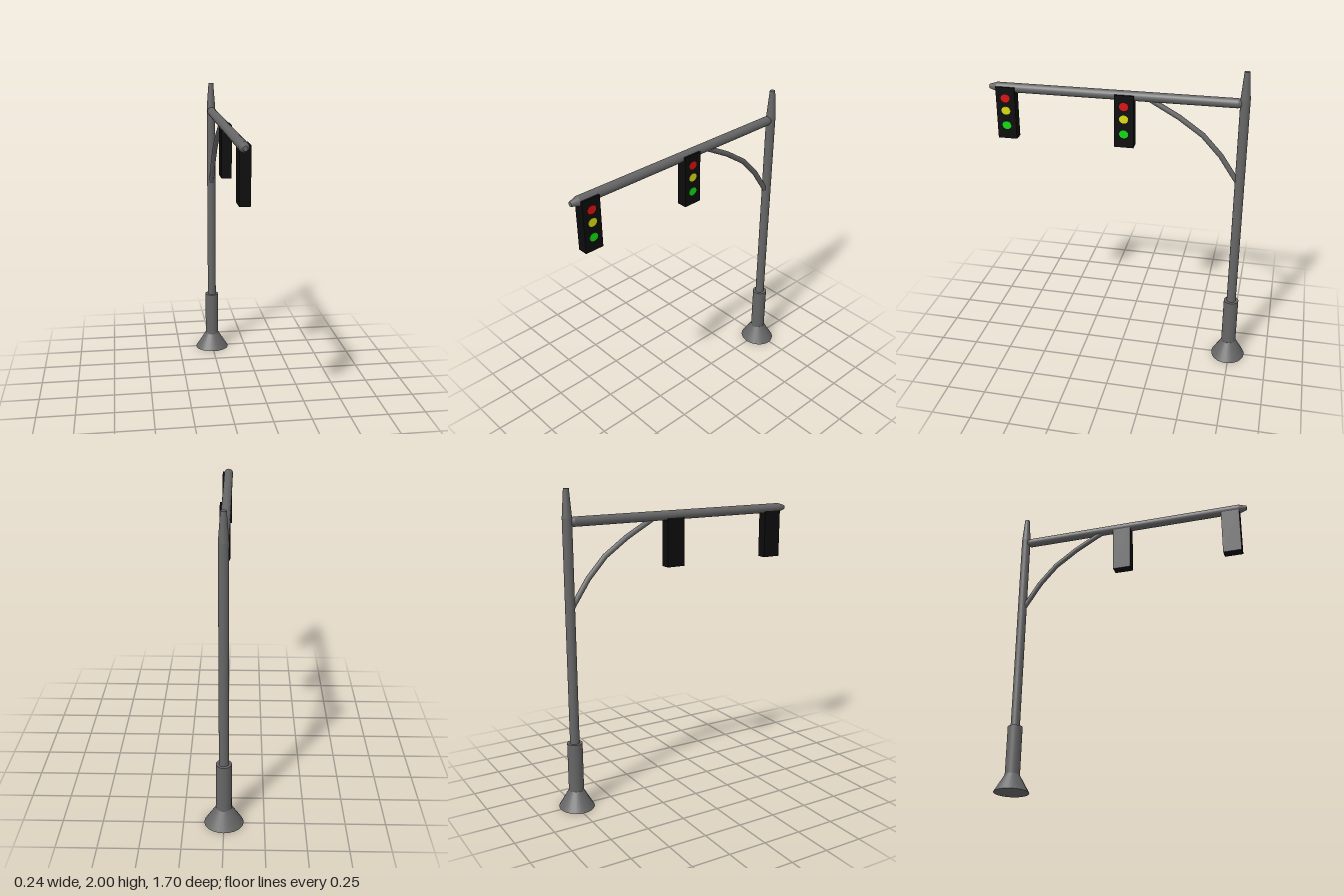
import * as THREE from 'three';

export function createModel() {
  const model = new THREE.Group();
  const metal = new THREE.MeshStandardMaterial({ color: 0x666666 });
  const black = new THREE.MeshStandardMaterial({ color: 0x0c0c0c });
  const poleZ = -0.74, armY = 1.805;

  const add = (name, geometry, material, parent = model) => {
    const mesh = new THREE.Mesh(geometry, material);
    mesh.name = name;
    parent.add(mesh);
    return mesh;
  };
  // Upright cylinder spanning y0 to y1 on the pole axis
  const upright = (name, rBottom, rTop, y0, y1) => {
    const mesh = add(name, new THREE.CylinderGeometry(rTop, rBottom, y1 - y0, 24), metal);
    mesh.position.set(0, (y0 + y1) / 2, poleZ);
    return mesh;
  };
  // Horizontal cylinder spanning z0 to z1 on the arm axis
  const level = (name, rBack, rFront, z0, z1) => {
    const geometry = new THREE.CylinderGeometry(rFront, rBack, z1 - z0, 24).rotateX(Math.PI / 2);
    add(name, geometry, metal).position.set(0, armY, (z0 + z1) / 2);
  };

  // Pole with flared foot, sleeve and tapered top
  upright('flaredFoot', 0.122, 0.05, 0, 0.115).scale.z = 0.91;
  upright('sleeve', 0.048, 0.048, 0.1, 0.43);
  upright('pole', 0.03, 0.03, 0.42, 1.83);
  upright('poleTip', 0.03, 0.017, 1.83, 2);

  // Arm with tapered ends
  level('armRoot', 0.02, 0.03, -0.73, -0.7);
  level('arm', 0.03, 0.03, -0.7, 0.8);
  level('armTip', 0.03, 0.014, 0.8, 0.85);

  // Faceted curved brace under the arm
  const bend = [[-0.17, 1.79], [-0.35, 1.69], [-0.5, 1.585], [-0.615, 1.46], [-0.725, 1.295]];
  const path = new THREE.CatmullRomCurve3(bend.map(([z, y]) => new THREE.Vector3(0, y, z)));
  path.getUtoTmapping = (u) => u; // keep each ring on a bend point
  add('brace', new THREE.TubeGeometry(path, bend.length - 1, 0.017, 12), metal);

  // Signal heads with three lamps each, facing +x
  const lamps = [['redLamp', 0xdd1111, 1.745], ['yellowLamp', 0xdddd11, 1.664], ['greenLamp', 0x11dd11, 1.568]];
  for (const z of [-0.015, 0.74]) {
    const head = new THREE.Group();
    head.name = 'signalHead';
    head.position.z = z;
    add('housing', new THREE.BoxGeometry(0.065, 0.335, 0.122), black, head).position.set(0.0075, 1.6475, 0);
    for (const [name, color, y] of lamps) {
      const disc = new THREE.CylinderGeometry(0.029, 0.029, 0.004, 24).rotateZ(-Math.PI / 2);
      const lamp = add(name, disc, new THREE.MeshStandardMaterial({ color }), head);
      lamp.position.set(0.04, y, 0);
      lamp.scale.y = 0.9;
    }
    model.add(head);
  }
  return model;
}
